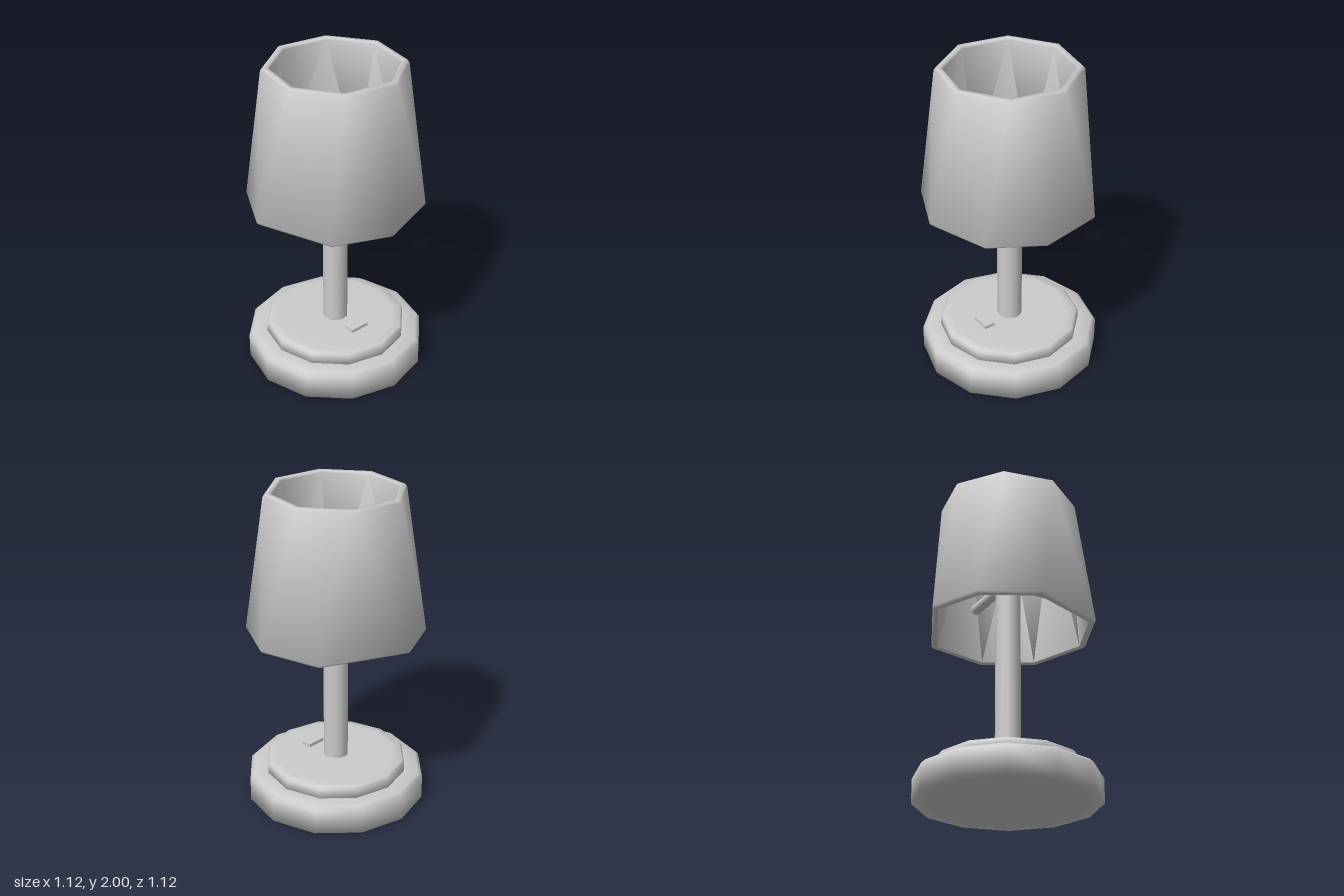
import * as THREE from 'three';
import { toCreasedNormals } from 'three/addons/utils/BufferGeometryUtils.js';

const material = new THREE.MeshStandardMaterial({ color: 0xcccccc });

function add(group, name, geometry, x = 0, y = 0, z = 0) {
  const mesh = new THREE.Mesh(geometry, material);
  mesh.name = name;
  mesh.position.set(x, y, z);
  group.add(mesh);
  return mesh;
}

// Softly shaded turned part from [radius, height] pairs, listed bottom to top
function turned(profile, sides) {
  const points = profile.map(([r, y]) => new THREE.Vector2(r, y));
  return toCreasedNormals(new THREE.LatheGeometry(points, sides), 1.7);
}

// Hollow tapered shade: the eight corners twist slightly from bottom to top
function shadeGeometry() {
  const lowAngles = [3, 43, 98, 138, 174, 237, 280, 319];
  const sides = lowAngles.length;
  // [radius, height, blend from lower to upper corner angles]
  const rings = [
    [0.505, 1.11, 0], [0.535, 1.105, 0], [0.548, 1.12, 0],
    [0.43, 1.985, 1], [0.418, 2, 1], [0.39, 2, 1], [0.38, 1.985, 1],
  ];
  const positions = [];
  const index = [];
  rings.forEach(([r, y, t], k) => {
    lowAngles.forEach((low, i) => {
      const a = THREE.MathUtils.degToRad(THREE.MathUtils.lerp(low, -12 + 45 * i, t));
      positions.push(r * Math.cos(a), y, r * Math.sin(a));
      const j = (i + 1) % sides;
      const next = (k + 1) % rings.length;
      const p = k * sides + i, q = k * sides + j;
      const u = next * sides + i, v = next * sides + j;
      // The shorter diagonal keeps the wall full
      if (k === rings.length - 1) index.push(p, u, q, q, u, v);
      else index.push(p, u, v, p, v, q);
    });
  });
  const geometry = new THREE.BufferGeometry();
  geometry.setAttribute('position', new THREE.Float32BufferAttribute(positions, 3));
  geometry.setIndex(index);
  return toCreasedNormals(geometry, 1.25);
}

export function createModel() {
  const lamp = new THREE.Group();
  lamp.name = 'tableLamp';

  // Stepped foot
  add(lamp, 'base', turned([
    [0, 0], [0.5, 0], [0.56, 0.004], [0.56, 0.155], [0.535, 0.18], [0.45, 0.18], [0, 0.18],
  ], 12));
  add(lamp, 'baseStep', turned([
    [0, 0.17], [0.443, 0.17], [0.443, 0.24], [0.43, 0.253], [0.38, 0.255], [0, 0.255],
  ], 12));
  add(lamp, 'switch', new THREE.BoxGeometry(0.07, 0.03, 0.128), 0.198, 0.262, -0.006);

  // Stem and bulb
  add(lamp, 'stem', new THREE.CylinderGeometry(0.078, 0.078, 1.21, 12), 0, 0.85, 0);
  add(lamp, 'bulb', new THREE.SphereGeometry(0.112, 8, 6), 0, 1.5, 0);

  // Four arms reaching the shade wall
  for (let i = 0; i < 4; i++) {
    const arm = new THREE.Group();
    arm.name = 'shadeArm';
    arm.rotation.y = i * Math.PI / 2;
    const rod = new THREE.CylinderGeometry(0.034, 0.034, 0.43, 8);
    rod.rotateZ(Math.PI / 2);
    add(arm, 'armRod', rod, 0.215, 1.44, 0);
    lamp.add(arm);
  }

  add(lamp, 'shade', shadeGeometry());
  return lamp;
}
